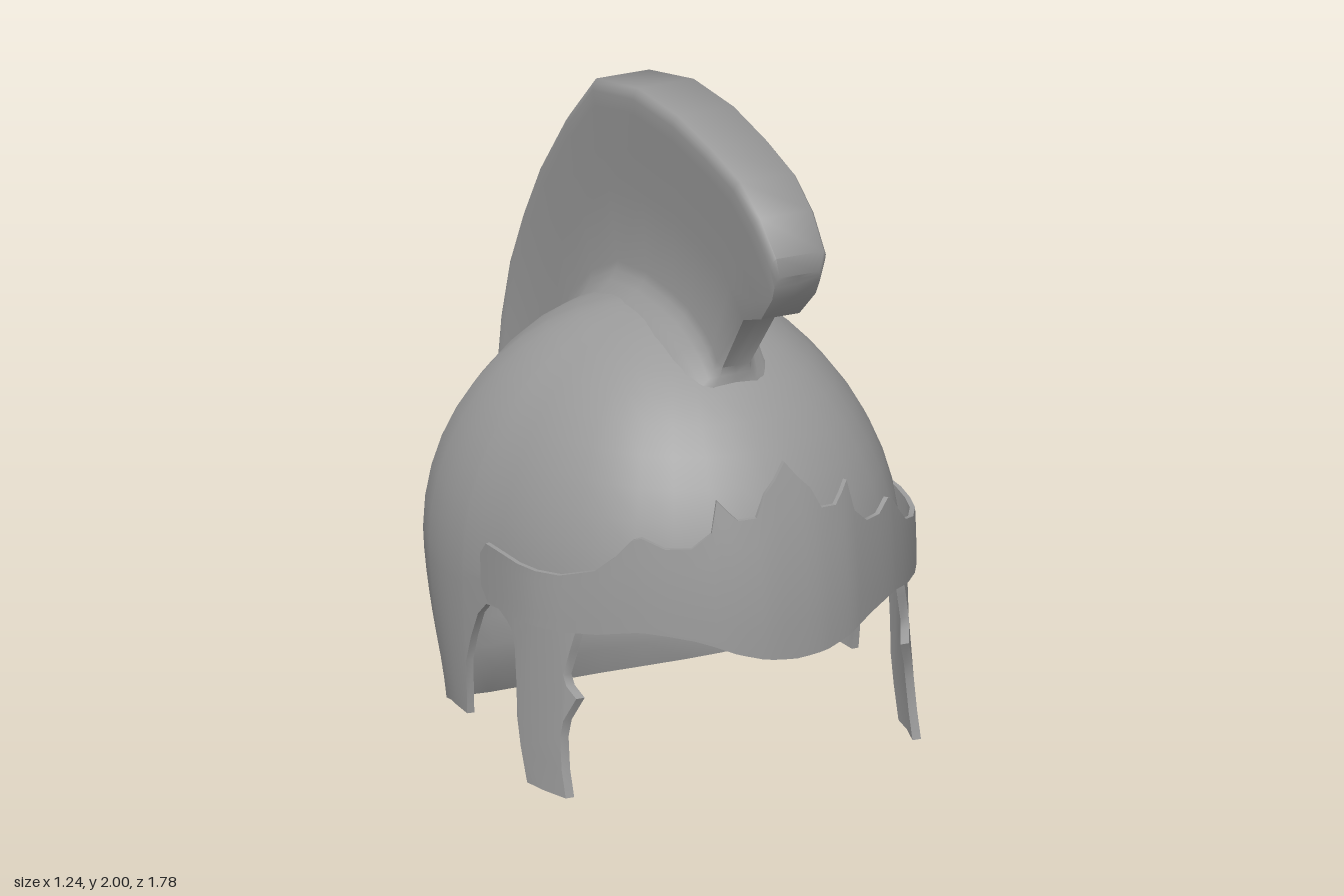
import * as THREE from 'three';
import { toCreasedNormals } from 'three/addons/utils/BufferGeometryUtils.js';

const material = new THREE.MeshStandardMaterial({ color: 0x9a9a9a, side: THREE.DoubleSide });

function addMesh(group, geometry, name, crease = 0.7) {
  const mesh = new THREE.Mesh(toCreasedNormals(geometry, crease), material);
  mesh.name = name;
  group.add(mesh);
  return mesh;
}

// Joins closed cross-sections; either wraps round or closes both ends flat.
function loft(rings, wrap) {
  const n = rings[0].length;
  const cap = r => r.map((p, j) => p.clone().add(r[n - 1 - j]).multiplyScalar(0.5));
  const rows = wrap ? [...rings, rings[0]] : [cap(rings[0]), ...rings, cap(rings.at(-1))];
  const tris = [];
  let volume = 0;
  const tri = (a, b, c) => {
    if (b.clone().sub(a).cross(c.clone().sub(a)).length() < 1e-8) return;
    volume += a.dot(b.clone().cross(c));
    tris.push([a, b, c]);
  };
  for (let i = 0; i < rows.length - 1; i++) for (let j = 0; j < n; j++) {
    const k = (j + 1) % n;
    tri(rows[i][j], rows[i][k], rows[i + 1][k]);
    tri(rows[i][j], rows[i + 1][k], rows[i + 1][j]);
  }
  // keep faces pointing outward
  const points = tris.flatMap(t => (volume < 0 ? [t[0], t[2], t[1]] : t));
  return new THREE.BufferGeometry().setFromPoints(points);
}

// Half outline (x first, starting at x = 0) mirrored to the other side.
const mirrorList = list => [...list.slice(1).reverse().map(([x, ...r]) => [-x, ...r]), ...list];

// Domed shell: x, z of the widest outline and height of the rim there
const SHELL = [
  [0, .8, .66], [.1, .79, .66], [.2, .76, .66], [.3, .71, .66], [.39, .645, .66], [.46, .57, .65],
  [.51, .49, .63], [.553, .39, .58], [.578, .3, .53], [.588, .25, .58], [.595, .21, .605],
  [.603, .15, .6], [.61, .11, .56], [.615, .07, .48], [.619, .04, .4], [.62, .03, .24],
  [.622, -.05, .24], [.62, -.11, .235], [.61, -.19, .215], [.58, -.29, .19], [.51, -.37, .16],
  [.44, -.445, .13], [.35, -.525, .1], [.23, -.59, .075], [.11, -.63, .06], [0, -.64, .055]];

function shellRing([x, z, rim]) {
  const cz = 0.08, wide = 0.68, outer = [], inner = [];
  const taper = 0.03 + 0.11 * THREE.MathUtils.clamp(-z / 0.5, 0, 1);
  const put = (s, y, yi) => {
    outer.push(new THREE.Vector3(x * s, y, cz + (z - cz) * s));
    inner.unshift(new THREE.Vector3(x * s * 0.965, yi, cz + (z - cz) * s * 0.965));
  };
  for (let i = 0; i <= 12; i++) {
    const a = (1 - i / 12) * Math.PI / 2;
    put(Math.cos(a), wide + 0.71 * Math.sin(a), wide + 0.685 * Math.sin(a));
  }
  for (let i = 1; i <= 8; i++) {
    const y = wide + (rim - wide) * i / 8;
    const d = Math.min(1, (wide - y) / 0.45);
    const flare = 0.05 * Math.max(0, 0.17 - y) / 0.11;
    put(1 - taper * Math.pow(d, 1.5) + flare, y, y);
  }
  return [...outer, ...inner];
}

// Brow plate: x, z, lower edge, upper edge
const BROW = [
  [0, .875, .58, 1.13], [.035, .875, .583, 1.085], [.07, .872, .586, 1.05], [.1, .867, .59, .99],
  [.15, .852, .603, .985], [.175, .843, .61, 1.01], [.2, .832, .62, 1.04], [.22, .82, .628, .95],
  [.27, .787, .643, .905], [.33, .742, .652, .9], [.38, .7, .656, .925], [.4, .68, .655, .915],
  [.44, .638, .645, .86], [.48, .59, .633, .815], [.545, .5, .622, .785], [.585, .43, .622, .782],
  [.605, .36, .622, .784], [.615, .28, .622, .79], [.618, .19, .622, .79], [.618, .15, .66, .75]];

function browRing([x, z, low, high]) {
  const outer = [], inner = [];
  for (let i = 0; i <= 5; i++) {
    const y = low + (high - low) * i / 5;
    const lean = 0.3 * (y - 0.6) ** 2;
    outer.push(new THREE.Vector3(x, y, z - lean));
    inner.unshift(new THREE.Vector3(x * 0.978, y, z * 0.984 - lean));
  }
  return [...outer, ...inner];
}

// Crest: half width, then z, y points from the dome to the outer edge
const CREST = [
  [.07, [.485, 1.22], [.492, 1.33], [.52, 1.38], [.63, 1.5], [.775, 1.555], [.842, 1.62], [.885, 1.71]],
  [.085, [.47, 1.235], [.475, 1.34], [.51, 1.4], [.62, 1.525], [.765, 1.6], [.84, 1.68], [.89, 1.77]],
  [.092, [.42, 1.28], [.5, 1.47], [.8, 1.86]], [.095, [.36, 1.315], [.68, 1.93]],
  [.098, [.28, 1.345], [.5, 1.97]], [.1, [.2, 1.355], [.3, 2]], [.1, [.05, 1.36], [.05, 2]],
  [.095, [-.12, 1.335], [-.22, 1.94]], [.09, [-.28, 1.255], [-.4, 1.77]],
  [.085, [-.41, 1.145], [-.57, 1.57]], [.082, [-.495, 1.035], [-.68, 1.4]],
  [.08, [-.555, .91], [-.77, 1.23]], [.08, [-.595, .8], [-.825, 1.05]],
  [.08, [-.61, .68], [-.855, .87]], [.08, [-.595, .56], [-.85, .72]],
  [.08, [-.57, .44], [-.82, .48]], [.078, [-.535, .255], [-.782, .28]],
  [.065, [-.64, .255], [-.785, .2]], [.055, [-.68, .17], [-.8, .14]],
  [.045, [-.73, .06], [-.835, .08]], [.035, [-.8, 0], [-.89, .03]]];
// flared root (distance from the dome, width) and widening body (fraction of height, width)
const ROOT = [[0, 1.4], [.025, 1.15], [.045, .88], [.07, .68], [.095, .6]];
const BODY = [[.5, .72], [.7, .84], [.88, .96], [.95, 1], [.98, .97], [1, .86]];

function crestRing([w, ...path], i) {
  const curve = new THREE.CatmullRomCurve3(path.map(([z, y]) => new THREE.Vector3(0, y, z)));
  const length = curve.getLength();
  const tail = i > 16; // hangs free, so it has no flared root
  const root = ROOT.map(([d, f]) => (tail ? [d * 4, 0.85] : [d / length, f]));
  const section = [...root, ...BODY.map(([t, f]) => [t, tail ? Math.max(f, 0.85) : f])];
  const side = sign => section.map(([t, f]) => curve.getPointAt(t).setX(sign * w * f));
  return [...side(1), ...side(-1).reverse()];
}

// Cheek guard outline in z, y, wrapped round the side of the face
const CHEEK = [
  [.28, .68], [.285, .56], [.3, .52], [.31, .42], [.315, .32], [.335, .24], [.37, .145], [.45, .145],
  [.535, .145], [.51, .22], [.495, .31], [.5, .36], [.53, .43], [.5, .46], [.488, .49], [.5, .56],
  [.51, .62], [.5, .68], [.4, .68]];

function cheekGeometry() {
  const shape = new THREE.Shape(CHEEK.map(p => new THREE.Vector2(...p)));
  const geometry = new THREE.ExtrudeGeometry(shape, { depth: 0.026, bevelEnabled: false });
  const pos = geometry.attributes.position;
  for (let i = 0; i < pos.count; i++) {
    const z = pos.getX(i), y = pos.getY(i);
    const bend = THREE.MathUtils.mapLinear(y, 0.145, 0.62, 0.75, 1.9); // curls in towards the brow
    pos.setXYZ(i, 0.588 - bend * (z - 0.3) ** 2 - pos.getZ(i), y, z);
  }
  return geometry;
}

export function createModel() {
  const helmet = new THREE.Group();
  helmet.name = 'helmet';

  // closed outline: left side front to back, then right side back to front
  const right = SHELL.slice(1, -1).reverse().map(([x, z, y]) => [-x, z, y]);
  addMesh(helmet, loft([...SHELL, ...right].map(shellRing), true), 'domeShell', 1);

  addMesh(helmet, loft(mirrorList(BROW).map(browRing), false), 'browPlate');
  addMesh(helmet, loft(CREST.map(crestRing), false), 'crest', 1.1);

  addMesh(helmet, cheekGeometry(), 'leftCheekGuard');
  addMesh(helmet, cheekGeometry(), 'rightCheekGuard').scale.x = -1;
  return helmet;
}
